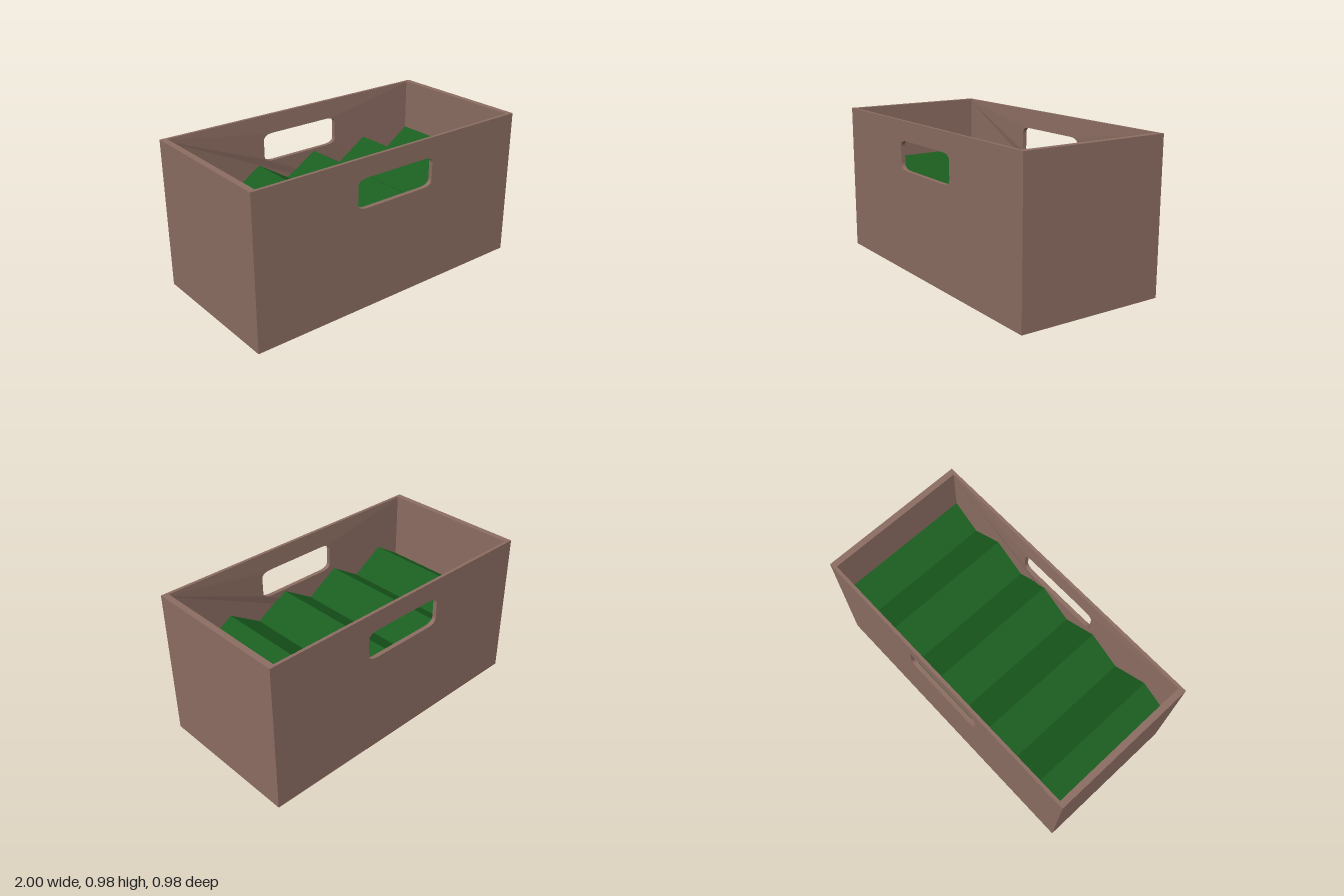
import * as THREE from 'three';

const W = 1, H = 0.98, D = 0.49;      // half width, height, half depth
const SIDE = 0.04, WALL = 0.02;       // wall thicknesses

// Long wall outline with a rounded hand hole
function wallShape() {
  const s = new THREE.Shape();
  s.moveTo(-W, 0).lineTo(W, 0).lineTo(W, H).lineTo(-W, H).closePath();
  const x = 0.29, y0 = 0.665, y1 = 0.855, rx = 0.075, ry = 0.04;
  const h = new THREE.Path();
  h.moveTo(-x + rx, y0).lineTo(x - rx, y0);
  h.quadraticCurveTo(x, y0, x, y0 + ry).lineTo(x, y1 - ry);
  h.quadraticCurveTo(x, y1, x - rx, y1).lineTo(-x + rx, y1);
  h.quadraticCurveTo(-x, y1, -x, y1 - ry).lineTo(-x, y0 + ry);
  h.quadraticCurveTo(-x, y0, -x + rx, y0);
  s.holes.push(h);
  return s;
}

export function createModel() {
  const group = new THREE.Group();
  const brown = new THREE.MeshStandardMaterial({ color: 0x8d6e63, flatShading: true });
  const green = new THREE.MeshStandardMaterial({ color: 0x1b5e20, flatShading: true });
  const add = (name, geometry, material, x = 0, y = 0, z = 0) => {
    const mesh = new THREE.Mesh(geometry, material);
    mesh.name = name;
    mesh.position.set(x, y, z);
    group.add(mesh);
    return mesh;
  };

  // Front and back walls, a little thicker inside around the hand hole
  const wall = new THREE.ExtrudeGeometry(wallShape(), { depth: WALL, bevelEnabled: false, curveSegments: 5 });
  const p = wall.attributes.position;
  for (let i = 0; i < p.count; i++) {
    if (Math.abs(p.getX(i)) < 0.5 && p.getZ(i) < WALL / 2) p.setZ(i, -0.008);
  }
  wall.computeVertexNormals();
  add('frontWall', wall, brown, 0, 0, D - WALL);
  add('backWall', wall, brown, 0, 0, -D + WALL).rotation.y = Math.PI;

  // End walls and floor
  const inner = 2 * (D - WALL);
  for (const s of [1, -1]) {
    add(s > 0 ? 'leftWall' : 'rightWall', new THREE.BoxGeometry(SIDE, H, inner), brown, s * (W - SIDE / 2), H / 2, 0);
  }
  add('floor', new THREE.BoxGeometry(2 * (W - SIDE), 0.04, inner), brown, 0, 0.02, 0);

  // Zigzag filling
  const fill = new THREE.Shape();
  const end = W - SIDE, peak = 0.65, valley = 0.51;
  fill.moveTo(-end, 0.04).lineTo(end, 0.04).lineTo(end, 0.635);
  for (let i = 0; i < 8; i++) fill.lineTo(0.77 - i * 0.22, i % 2 ? peak : valley);
  fill.lineTo(-end, 0.53).closePath();
  add('zigzagFilling', new THREE.ExtrudeGeometry(fill, { depth: inner, bevelEnabled: false }), green, 0, 0, -inner / 2);

  return group;
}
